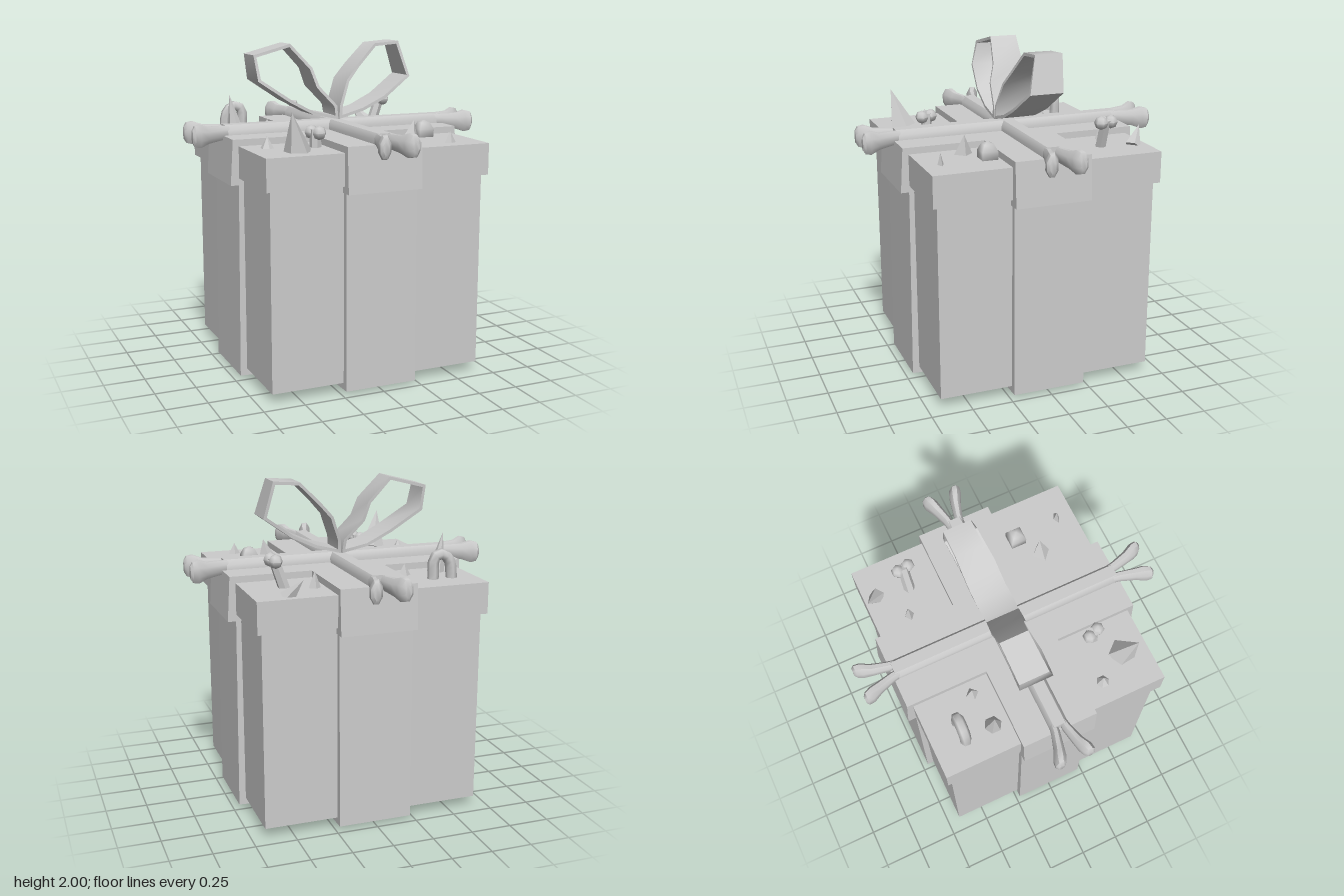
import * as THREE from 'three';
import { toCreasedNormals } from 'three/addons/utils/BufferGeometryUtils.js';

const grey = new THREE.MeshStandardMaterial({ color: 0xcccccc, side: THREE.DoubleSide });
grey.name = 'plain grey';

const V = (x, y, z) => new THREE.Vector3(x, y, z);

function add(parent, name, geometry, crease = 0.6) {
  const mesh = new THREE.Mesh(toCreasedNormals(geometry, crease), grey);
  mesh.name = name;
  parent.add(mesh);
  return mesh;
}

// Joins rings of equal length into a skin; closed = last ring meets the first
function skin(rings, closed) {
  const n = rings[0].length, pos = [], idx = [];
  rings.forEach(r => r.forEach(p => pos.push(p.x, p.y, p.z)));
  const last = closed ? rings.length : rings.length - 1;
  for (let i = 0; i < last; i++) for (let k = 0; k < n; k++) {
    const j = (i + 1) % rings.length, m = (k + 1) % n;
    const a = i * n + k, b = i * n + m, c = j * n + m, d = j * n + k;
    idx.push(a, b, c, a, c, d);
  }
  if (!closed) for (let k = 1; k < n - 1; k++) {
    const e = (rings.length - 1) * n;
    idx.push(0, k + 1, k, e, e + k, e + k + 1);
  }
  const g = new THREE.BufferGeometry();
  g.setAttribute('position', new THREE.Float32BufferAttribute(pos, 3));
  g.setIndex(idx);
  return g;
}

// Lofts ellipses [x, y, z, ry, rz] along x
const loft = (stations, sides) => skin(stations.map(([x, y, z, ry, rz]) =>
  Array.from({ length: sides }, (_, k) => {
    const a = (k + 0.5) / sides * Math.PI * 2;
    return V(x, y + Math.cos(a) * ry, z + Math.sin(a) * rz);
  })), false);

// Extrudes a front outline, centred on z = 0
function slab(points, depth) {
  const shape = new THREE.Shape(points.map(p => new THREE.Vector2(...p)));
  return new THREE.ExtrudeGeometry(shape, { depth, bevelEnabled: false }).translate(0, 0, -depth / 2);
}

// Cone or stub between two points
function spike(parent, name, base, tip, r, sides, rTip = 0, turn = 0) {
  const dir = tip.clone().sub(base), h = dir.length();
  const g = new THREE.CylinderGeometry(rTip, r, h, sides).rotateY(turn).translate(0, h / 2, 0);
  const mesh = add(parent, name, g);
  mesh.position.copy(base);
  mesh.quaternion.setFromUnitVectors(V(0, 1, 0), dir.normalize());
  return mesh;
}

// Short bone standing in the lid with two knobs at its tip
function smallBone(parent, base, tip, angle) {
  const bone = new THREE.Group();
  bone.name = 'smallBone';
  spike(bone, 'smallBoneShaft', base, tip, 0.035, 6, 0.032);
  for (const s of [-1, 1]) {
    const knob = add(bone, 'smallBoneKnob', new THREE.SphereGeometry(0.042, 6, 4), 1.2);
    knob.position.set(tip.x + Math.cos(angle) * 0.034 * s, tip.y - 0.02, tip.z + Math.sin(angle) * 0.034 * s);
  }
  parent.add(bone);
}

// One closed ribbon loop from its anticlockwise outline, leaning back with height
function bowLoop(outline) {
  const pts = outline.map(p => new THREE.Vector2(...p));
  const lerp = (y, ys, zs) => {
    let i = 0;
    while (i < ys.length - 2 && y > ys[i + 1]) i++;
    return THREE.MathUtils.lerp(zs[i], zs[i + 1], (y - ys[i]) / (ys[i + 1] - ys[i]));
  };
  const rings = pts.map((p, i) => {
    const prev = pts[(i + pts.length - 1) % pts.length], next = pts[(i + 1) % pts.length];
    const d1 = p.clone().sub(prev).normalize(), d2 = next.clone().sub(p).normalize();
    const n1 = new THREE.Vector2(-d1.y, d1.x), n = n1.clone().add(new THREE.Vector2(-d2.y, d2.x)).normalize();
    const q = p.clone().addScaledVector(n, 0.018 / Math.max(n.dot(n1), 0.3));
    const f = lerp(p.y, [1.53, 1.68, 1.85, 2], [0.085, 0.08, 0.03, 0]);
    const b = lerp(p.y, [1.53, 1.72, 1.8, 2], [-0.11, -0.14, -0.16, -0.17]);
    return [V(p.x, p.y, f), V(p.x, p.y, b), V(q.x, q.y, b), V(q.x, q.y, f)];
  });
  return skin(rings, true);
}

export function createModel() {
  const gift = new THREE.Group();
  gift.name = 'giftBox';

  // Box and lid
  add(gift, 'boxBody', new THREE.BoxGeometry(1.34, 1.2, 1.34).translate(0, 0.66, 0));
  add(gift, 'lid', new THREE.BoxGeometry(1.4, 0.19, 1.4).translate(0, 1.335, 0));

  // Crossing bands round the box and the lid
  const boxBand = [[-0.23, 0], [0.23, 0], [0.712, 0.02], [0.7, 1.24], [-0.7, 1.24], [-0.712, 0.02]];
  const lidBand = [[-0.752, 1.2], [0.752, 1.2], [0.735, 1.47], [-0.735, 1.47]];
  for (const turn of [0, Math.PI / 2]) {
    add(gift, 'boxBand', slab(boxBand, 0.45), 0.01).rotation.y = turn;
    add(gift, 'lidBand', slab(lidBand, 0.465)).rotation.y = turn;
  }

  // Two long crossed bones with forked ends
  const shaft = [[-0.055, 1.46], [0.055, 1.46], [0.055, 1.5], [0.035, 1.53], [-0.035, 1.53], [-0.055, 1.5]];
  const lobe = [
    [0.64, 1.49, 0.024, 0.03, 0.02], [0.74, 1.485, 0.036, 0.046, 0.028],
    [0.83, 1.48, 0.06, 0.054, 0.034], [0.885, 1.48, 0.08, 0.075, 0.042],
    [0.92, 1.48, 0.09, 0.066, 0.036], [0.935, 1.48, 0.092, 0.04, 0.02],
  ];
  for (const turn of [0, Math.PI / 2]) {
    const bone = new THREE.Group();
    bone.name = 'crossedBone';
    add(bone, 'boneShaft', slab(shaft, 1.44).rotateY(Math.PI / 2));
    for (const end of [0, Math.PI]) for (const s of [-1, 1]) {
      const stations = lobe.map(([x, y, z, ry, rz]) => [x, y, z * s, ry, rz]);
      add(bone, 'boneKnob', loft(stations, 8), 0.7).rotation.y = end;
    }
    bone.rotation.y = turn;
    gift.add(bone);
  }

  // Bow
  add(gift, 'bowLeftLoop', bowLoop([[0.003, 1.535], [0.17, 1.58], [0.32, 1.65], [0.503, 1.78],
    [0.445, 2], [0.28, 1.987], [0.15, 1.86], [0.068, 1.77], [0.01, 1.62]]), 0.9);
  add(gift, 'bowRightLoop', bowLoop([[-0.003, 1.535], [-0.01, 1.62], [-0.12, 1.74], [-0.152, 1.85],
    [-0.285, 1.997], [-0.525, 1.935], [-0.51, 1.78], [-0.32, 1.65], [-0.17, 1.57]]), 0.9);

  // Teeth, claws and other bits poking out of the lid
  const y = 1.42;
  spike(gift, 'tallSpike', V(-0.53, y, -0.33), V(-0.57, 1.67, -0.335), 0.055, 6);
  spike(gift, 'largeLeaningSpike', V(-0.455, y, 0.545), V(-0.51, 1.66, 0.6), 0.085, 5, 0, 0.4);
  spike(gift, 'backLeaningSpike', V(0.5, y, -0.615), V(0.43, 1.53, -0.69), 0.05, 5);
  spike(gift, 'blunt hexagonal tooth', V(-0.57, y, 0.36), V(-0.57, 1.5, 0.36), 0.045, 6);
  spike(gift, 'smallTooth', V(-0.31, y, -0.36), V(-0.31, 1.5, -0.36), 0.045, 4);
  spike(gift, 'smallTooth', V(0.3, y, -0.49), V(0.3, 1.53, -0.49), 0.04, 4).scale.z = 0.8;
  spike(gift, 'frontTooth', V(0.33, y, 0.4), V(0.355, 1.55, 0.4), 0.06, 4);
  spike(gift, 'thinTooth', V(0.5, y, 0.59), V(0.5, 1.5, 0.59), 0.042, 4).scale.z = 0.5;

  const lump = add(gift, 'roundedLump', new THREE.SphereGeometry(0.07, 4, 5).rotateY(Math.PI / 4), 1.6);
  lump.position.set(0.475, 1.455, 0.3);
  lump.scale.y = 1.1;

  const claw = new THREE.CatmullRomCurve3([V(-0.55, y, -0.51), V(-0.535, 1.53, -0.51), V(-0.49, 1.575, -0.51), V(-0.44, 1.56, -0.51), V(-0.43, y, -0.51)]);
  add(gift, 'curvedClaw', new THREE.TubeGeometry(claw, 10, 0.034, 6), 1.2);

  smallBone(gift, V(-0.3, y, 0.43), V(-0.3, 1.535, 0.43), 1.2);
  smallBone(gift, V(0.46, y, -0.42), V(0.525, 1.61, -0.42), 1.4);

  return gift;
}
